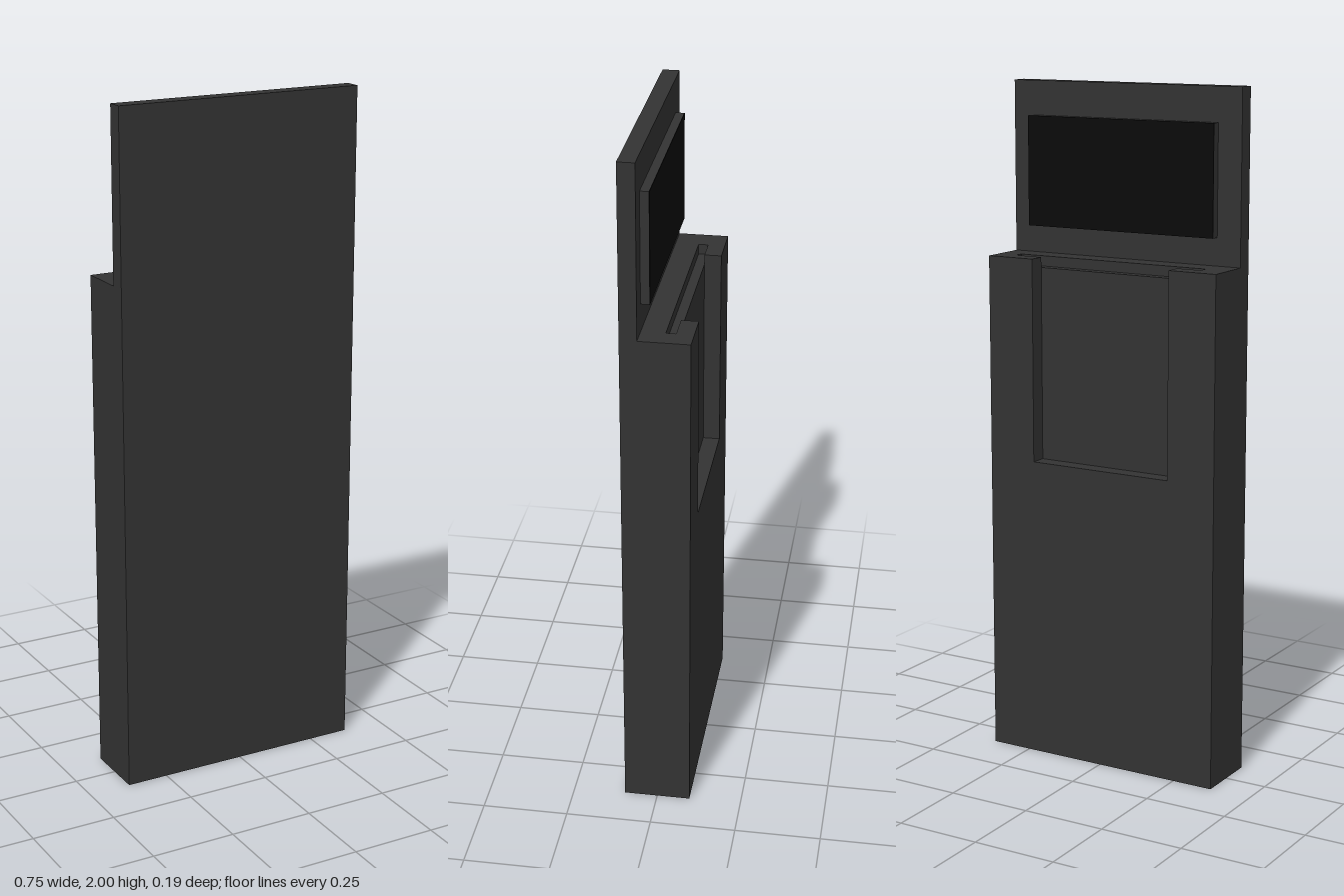
import * as THREE from 'three';

const casing = new THREE.MeshStandardMaterial({ color: 0x333333 });
const black = new THREE.MeshStandardMaterial({ color: 0x0a0a0a });

// Box given by its extents on each axis
function block(name, [x0, x1], [y0, y1], [z0, z1], material = casing) {
  const mesh = new THREE.Mesh(new THREE.BoxGeometry(x1 - x0, y1 - y0, z1 - z0), material);
  mesh.position.set((x0 + x1) / 2, (y0 + y1) / 2, (z0 + z1) / 2);
  mesh.name = name;
  return mesh;
}

// Slab of the body with a rectangular cut in its top edge
function notchedSlab(name, width, height, [cutL, cutR], cutBottom, [z0, z1]) {
  const w = width / 2;
  const outline = [
    [-w, 0], [w, 0], [w, height], [cutR, height],
    [cutR, cutBottom], [cutL, cutBottom], [cutL, height], [-w, height],
  ].map(([x, y]) => new THREE.Vector2(x, y));
  const geometry = new THREE.ExtrudeGeometry(new THREE.Shape(outline), { depth: z1 - z0, bevelEnabled: false });
  geometry.translate(0, 0, z0);
  const mesh = new THREE.Mesh(geometry, casing);
  mesh.name = name;
  return mesh;
}

export function createModel() {
  const group = new THREE.Group();
  group.name = 'slabWithDisplay';
  const W = 0.748, H = 1.5, sideX = [-W / 2, W / 2];

  // Tall front panel and the thick lower body behind it
  group.add(block('frontPanel', sideX, [0, 2], [0.048, 0.097]));
  group.add(block('bodyCore', sideX, [0, H], [-0.02, 0.048]));

  // Shallow slot in the top edge, then the wide recess in the back
  group.add(notchedSlab('slotLayer', W, H, [-0.3, 0.312], H - 0.03, [-0.048, -0.02]));
  group.add(notchedSlab('recessedBack', W, H, [-0.225, 0.225], 0.9, [-0.097, -0.048]));

  // Raised display on the back of the upper panel
  group.add(block('displayFrame', [-0.3, 0.312], [1.58, 1.9], [0.024, 0.048]));
  group.add(block('displayScreen', [-0.3, 0.312], [1.58, 1.9], [0.022, 0.024], black));

  return group;
}
